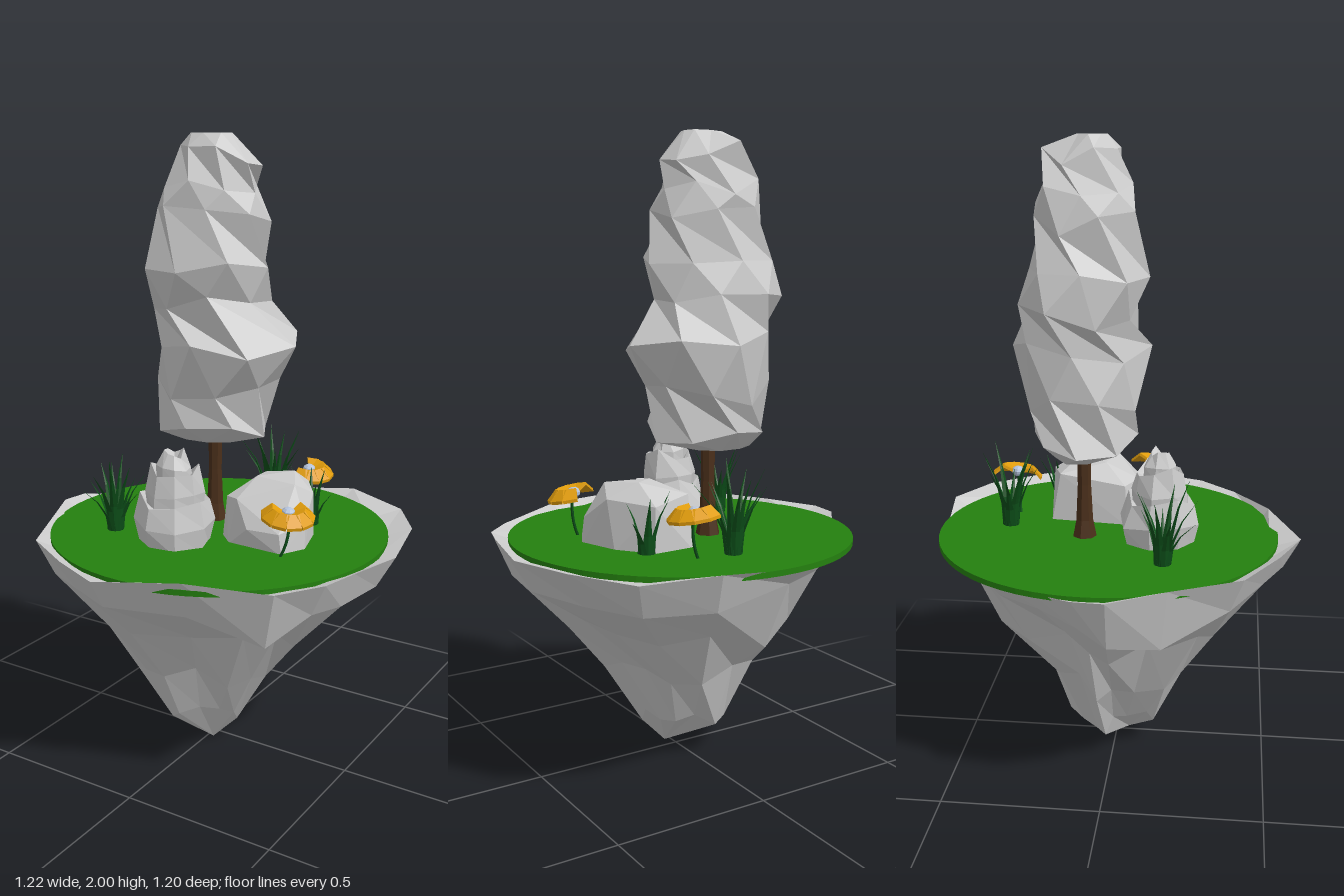
import * as THREE from 'three';
import { ConvexGeometry } from 'three/addons/geometries/ConvexGeometry.js';

const material = (color, side = THREE.FrontSide) =>
  new THREE.MeshStandardMaterial({ color, flatShading: true, side });
const stone = material(0xcccccc);
const turfGreen = material(0x24800f);
const leafGreen = material(0x0c4d18, THREE.DoubleSide);
const bark = material(0x4a2f1a);
const petalYellow = material(0xe09c0c, THREE.DoubleSide);
const paleBlue = material(0xb4c2da);

function seeded(seed) {
  return () => (seed = (seed * 16807) % 2147483647) / 2147483647;
}

function add(parent, name, geometry, mat) {
  const mesh = new THREE.Mesh(geometry, mat);
  mesh.name = name;
  parent.add(mesh);
  return mesh;
}

// Faceted skin through equal-length rings of [x, y, z], listed top to bottom
function loft(rings) {
  const pos = [];
  for (let r = 0; r < rings.length - 1; r++) {
    const up = rings[r], low = rings[r + 1], n = up.length;
    for (let i = 0; i < n; i++) {
      const j = (i + 1) % n;
      pos.push(...up[i], ...up[j], ...low[i], ...up[j], ...low[j], ...low[i]);
    }
  }
  const g = new THREE.BufferGeometry();
  g.setAttribute('position', new THREE.Float32BufferAttribute(pos, 3));
  g.computeVertexNormals();
  return g;
}

// Floating rock: an uneven rim that narrows to a tip
function island() {
  const rand = seeded(11);
  const rim = [[.61, -.08], [.575, .14], [.54, .26], [.44, .385], [.2, .5], [-.05, .6],
    [-.22, .53], [-.41, .42], [-.52, .2], [-.61, .03], [-.6, -.07], [-.5, -.2],
    [-.37, -.38], [-.1, -.56], [.22, -.6], [.44, -.52], [.56, -.33]];
  const fall = [0, 0, 0, -.09, 0, .02, .02, 0, -.09, -.06, 0, .02, 0, .03, 0, 0, 0];
  const top = rim.map(([x, z]) => {
    const d = Math.hypot(x, z + .03);
    return [x, d < .56 ? .72 : .735 + .03 * rand(), z];
  });
  const inner = rim.map(([x, z]) => {
    const k = Math.min(1, .535 / Math.hypot(x, z + .03));
    return [x * k, .715, (z + .03) * k - .03];
  });
  // y, scale, x shift, z shift, roughness
  const levels = [[.63, .9, 0, 0, .06], [.47, .64, -.02, 0, .16],
    [.3, .42, -.03, 0, .2], [.12, .26, -.03, 0, .16]];
  const sides = levels.map(([y, s, dx, dz, rough], l) => rim.map(([x, z], i) => {
    const k = s * (1 + rough * (rand() - .5));
    return [x * k + dx, y + (l ? .08 * (rand() - .5) : fall[i]), z * k + dz];
  }));
  return loft([rim.map(() => [0, .715, -.03]), inner, top, ...sides, rim.map(() => [.02, 0, .04])]);
}

// Foliage: staggered octagons fitted to y, xMin, xMax, zMin, zMax
function foliage() {
  const rand = seeded(29), n = 8;
  const levels = [[2, -.13, .02, -.12, -.02], [1.93, -.18, .1, -.22, .03], [1.83, -.21, .09, -.23, .06],
    [1.75, -.25, .11, -.25, .07], [1.61, -.29, .14, -.27, .11], [1.48, -.28, .14, -.29, .08],
    [1.36, -.25, .21, -.33, .11], [1.2, -.25, .17, -.29, .08], [1.07, -.27, .14, -.27, .08],
    [1.02, -.2, .02, -.19, -.02]];
  const rings = levels.map(([y, x0, x1, z0, z1], l) => Array.from({ length: n }, (_, i) => {
    const a = (i + l % 2 / 2) / n * Math.PI * 2, k = .9 + .2 * rand();
    const edge = l === 0 || l === levels.length - 1 ? 0 : .07;
    return [(x0 + x1) / 2 + Math.cos(a) * (x1 - x0) / 2 * k, y + edge * (rand() - .5),
      (z0 + z1) / 2 + Math.sin(a) * (z1 - z0) / 2 * k];
  }));
  return loft([Array(n).fill([-.06, 2, -.07]), ...rings, Array(n).fill([-.09, 1.01, -.11])]);
}

// Standing stone: three nested jagged crowns given as y, radius, jaggedness
function standingStone() {
  const rand = seeded(5), n = 8;
  const levels = [[.99, 0, 0], [1.03, .03, .04], [.98, .055, .02], [.945, .055, 0], [.97, .075, .06],
    [.9, .092, .02], [.86, .09, 0], [.89, .11, .06], [.8, .125, .03], [.72, .115, 0]];
  return loft(levels.map(([y, r, jag]) => Array.from({ length: n }, (_, i) => {
    const a = i / n * Math.PI * 2 + .2, k = r * (.93 + .14 * rand());
    return [-.06 + Math.cos(a) * k, y + jag * (rand() - .5), .145 + Math.sin(a) * k];
  })));
}

// A tuft of flat blades curving outward from one root
function grass(count, height, reach, seed) {
  const group = new THREE.Group(), rand = seeded(seed);
  for (let i = 0; i < count; i++) {
    const h = height * (.55 + .45 * rand()), out = reach * (.5 + .5 * rand());
    const g = new THREE.ConeGeometry(.019, h, 4, 3).translate(0, h / 2, 0);
    const p = g.attributes.position;
    for (let v = 0; v < p.count; v++) {
      const t = p.getY(v) / h;
      p.setX(v, p.getX(v) * .35 + .02 + out * t * t);
    }
    g.computeVertexNormals();
    add(group, 'grassBlade', g, leafGreen).rotation.y = (i + .5 * rand()) / count * Math.PI * 2;
  }
  return group;
}

// Flower with a gap in its ring of petals; start and end are angles in the xz plane
function flower(height, start, end, tiltX, tiltZ) {
  const group = new THREE.Group();
  const stem = new THREE.QuadraticBezierCurve3(new THREE.Vector3(-.02, 0, .01),
    new THREE.Vector3(.015, height * .5, 0), new THREE.Vector3(0, height, 0));
  add(group, 'flowerStem', new THREE.TubeGeometry(stem, 6, .005, 5), leafGreen);
  const head = new THREE.Group();
  head.name = 'flowerHead';
  head.position.y = height;
  head.rotation.set(tiltX, 0, tiltZ);
  group.add(head);
  add(head, 'flowerCentre', new THREE.SphereGeometry(.023, 8, 6), paleBlue).scale.y = .8;
  const count = 7;
  for (let i = 0; i < count; i++) {
    const g = new THREE.BoxGeometry(.064, .01, .046, 2, 1, 1).translate(.05, 0, 0);
    const p = g.attributes.position;
    for (let v = 0; v < p.count; v++) {
      const t = (p.getX(v) - .018) / .064;
      p.setZ(v, p.getZ(v) * (.3 + .7 * Math.min(1, t * 1.7)));
      p.setY(v, p.getY(v) + .09 * t * (.85 - t));
    }
    g.computeVertexNormals();
    add(head, 'petal', g, petalYellow).rotation.y = -(start + (end - start) * i / (count - 1));
  }
  return group;
}

export function createModel() {
  const model = new THREE.Group();
  const place = (name, group, x, z) => {
    group.name = name;
    group.position.set(x, .735, z);
    model.add(group);
  };

  add(model, 'islandRock', island(), stone);
  add(model, 'turf', new THREE.CylinderGeometry(.557, .557, .018, 64), turfGreen).position.set(0, .729, -.028);

  // Tree
  const trunk = new THREE.LatheGeometry([[.04, 0], [.028, .06], [.022, .18], [.024, .33]]
    .map(([x, y]) => new THREE.Vector2(x, y)), 7);
  add(model, 'treeTrunk', trunk, bark).position.set(-.06, .735, -.1);
  add(model, 'treeFoliage', foliage(), stone);

  // Stones
  add(model, 'standingStone', standingStone(), stone);
  const boulder = [[.05, .73, .03], [.1, .73, .08], [.3, .73, .09], [.34, .73, .01], [.3, .73, -.13],
    [.22, .73, -.24], [.08, .73, -.23], [.06, .87, .02], [.12, .88, .06], [.18, .8, .1], [.29, .8, .09],
    [.335, .82, 0], [.28, .93, -.03], [.31, .89, -.1], [.22, .94, -.14], [.13, .93, -.05],
    [.22, .88, -.24], [.08, .9, -.2]].map((p) => new THREE.Vector3(...p));
  add(model, 'boulder', new ConvexGeometry(boulder), stone);

  // Plants
  place('grassFrontRight', grass(11, .27, .11, 3), -.28, .17);
  place('grassBack', grass(12, .32, .12, 8), .02, -.36);
  place('grassBehindBoulder', grass(7, .2, .08, 17), .24, -.22);
  place('frontFlower', flower(.145, -.95, 2.6, .12, -.15), .325, .095);
  place('backFlower', flower(.145, -1.8, 1.5, .1, -.12), .16, -.36);
  return model;
}
